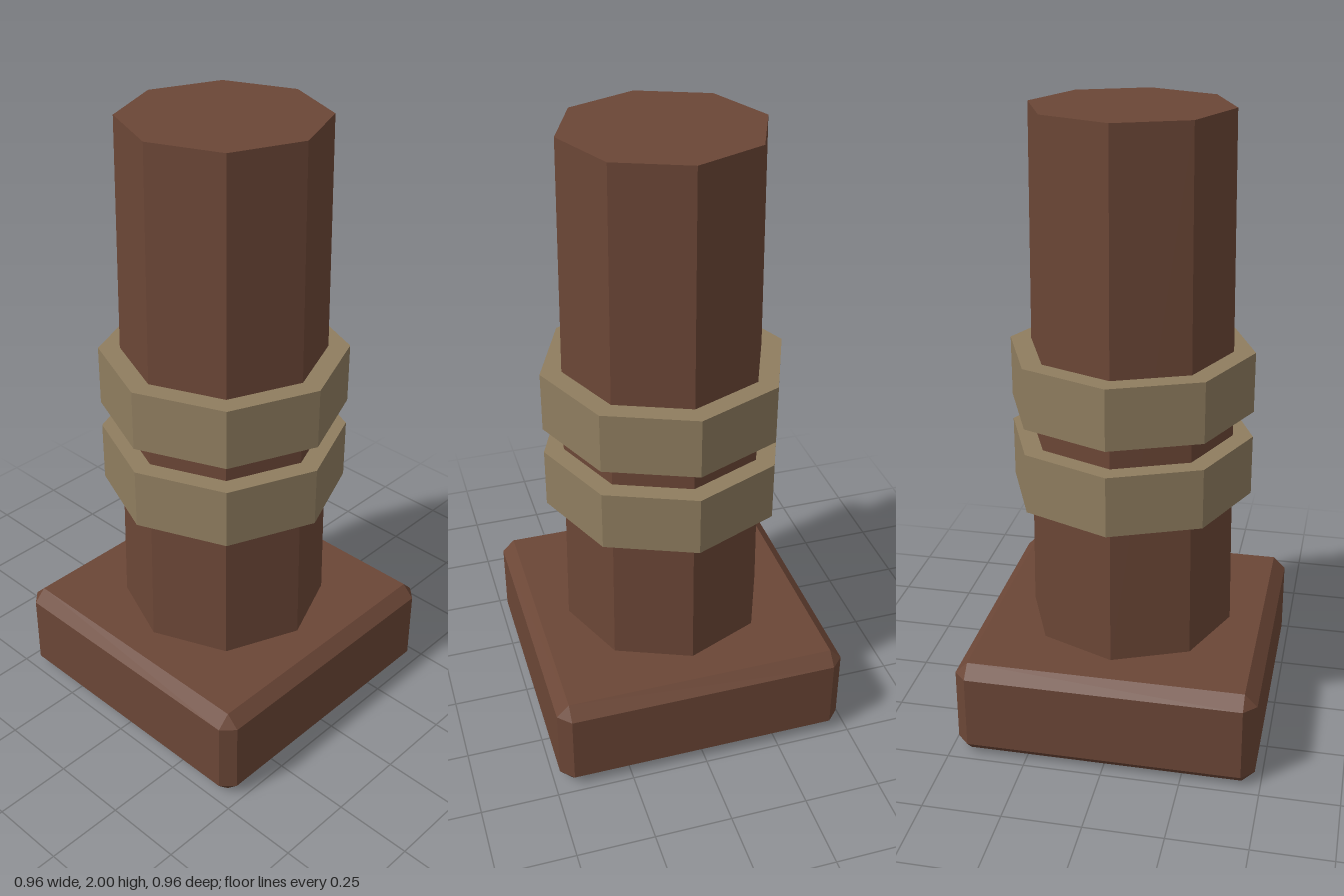
import * as THREE from 'three';
import { ConvexGeometry } from 'three/addons/geometries/ConvexGeometry.js';

// Box with flat chamfers on every edge, standing on y = 0
function chamferedBox(width, height, depth, c) {
  const points = [];
  for (const x of [-1, 1]) for (const y of [-1, 1]) for (const z of [-1, 1]) {
    for (let axis = 0; axis < 3; axis++) {
      const inset = [c, c, c];
      inset[axis] = 0;
      points.push(new THREE.Vector3(
        x * (width / 2 - inset[0]),
        height / 2 + y * (height / 2 - inset[1]),
        z * (depth / 2 - inset[2])));
    }
  }
  return new ConvexGeometry(points);
}

export function createModel() {
  const group = new THREE.Group();
  const wood = new THREE.MeshStandardMaterial({ name: 'brown wood', color: 0x6b4636, flatShading: true });
  const band = new THREE.MeshStandardMaterial({ name: 'tan band', color: 0x8f7d5f, flatShading: true });

  const add = (name, geometry, material, y = 0) => {
    const mesh = new THREE.Mesh(geometry, material);
    mesh.name = name;
    mesh.position.y = y;
    group.add(mesh);
  };

  // Square plinth
  add('base', chamferedBox(0.96, 0.32, 0.96, 0.04), wood);

  // Tapered octagonal post
  add('post', new THREE.CylinderGeometry(0.312, 0.336, 1.7, 8), wood, 1.15);

  // Two octagonal collars
  add('lowerBand', new THREE.CylinderGeometry(0.39, 0.39, 0.195, 8), band, 0.883);
  add('upperBand', new THREE.CylinderGeometry(0.39, 0.39, 0.195, 8), band, 1.163);

  return group;
}
